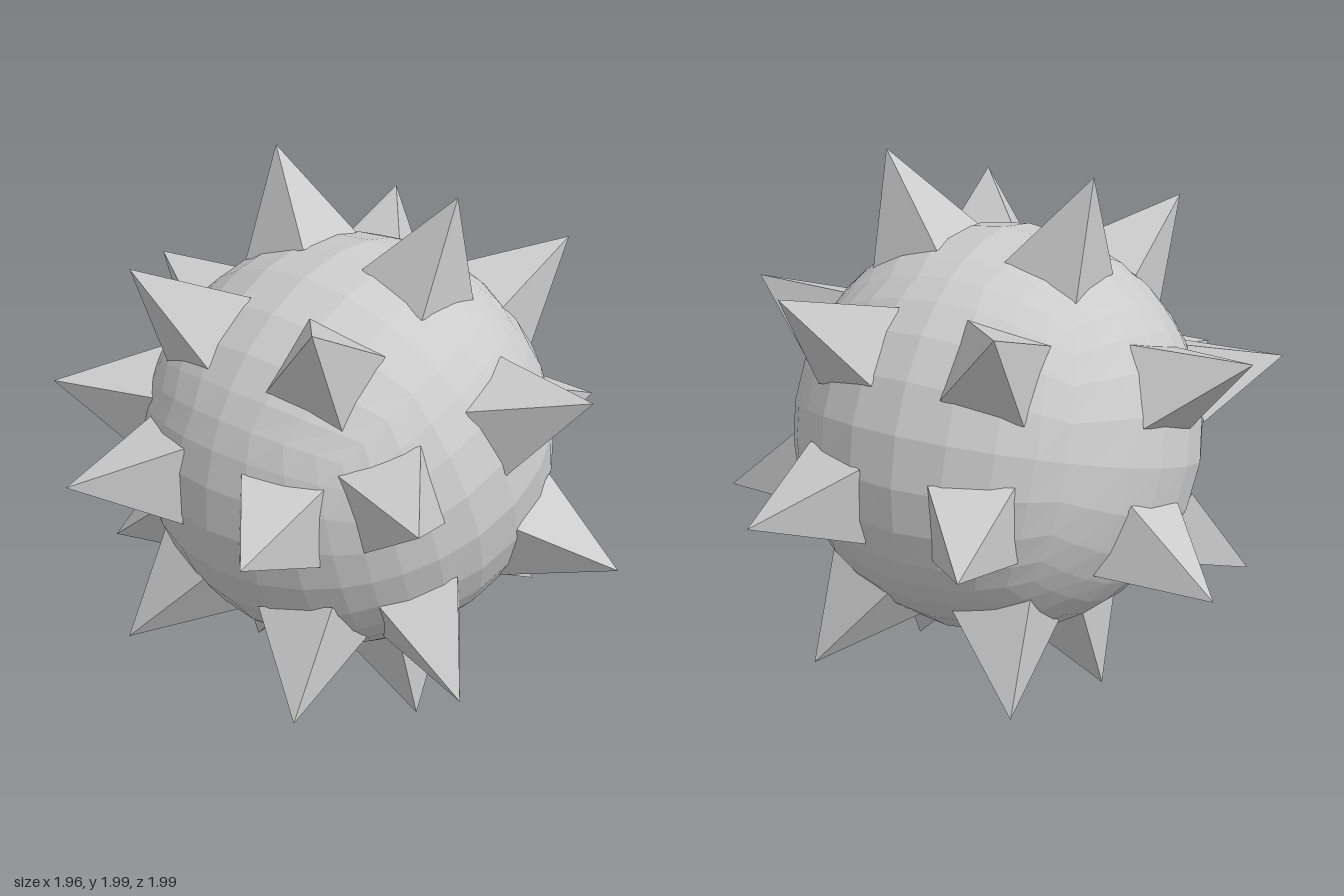
import * as THREE from 'three';

const RADIUS = 0.74;
const STEP = Math.PI / 16; // 11.25 degrees

export function createModel() {
  const model = new THREE.Group();
  model.name = 'spikedBall';
  const material = new THREE.MeshStandardMaterial({ color: 0xcccccc, flatShading: true });

  // Everything leans forward together around the x axis
  const ball = new THREE.Group();
  ball.name = 'tiltedBall';
  ball.position.y = 1;
  ball.rotation.x = 0.312;
  model.add(ball);

  // Body: a subdivided cube pushed out to a sphere
  const bodyGeometry = new THREE.BoxGeometry(2, 2, 2, 8, 8, 8);
  const pos = bodyGeometry.attributes.position;
  const v = new THREE.Vector3();
  for (let i = 0; i < pos.count; i++) {
    v.fromBufferAttribute(pos, i).setLength(RADIUS);
    pos.setXYZ(i, v.x, v.y, v.z);
  }
  bodyGeometry.computeVertexNormals();
  const body = new THREE.Mesh(bodyGeometry, material);
  body.name = 'body';
  ball.add(body);

  // Spike: square pyramid along +y, its base just inside the body
  const base = 0.71, tip = 1.077, half = 0.143;
  const spikeGeometry = new THREE.ConeGeometry(half * Math.SQRT2, tip - base, 4)
    .rotateY(Math.PI / 4)
    .translate(0, (base + tip) / 2, 0);

  // Points a spike along dir, with its base square to the given ring axis
  function addSpike(name, dir, ringAxis) {
    const up = dir.clone().normalize();
    const side = new THREE.Vector3().crossVectors(up, ringAxis).normalize();
    const front = new THREE.Vector3().crossVectors(side, up);
    const spike = new THREE.Mesh(spikeGeometry, material);
    spike.name = name;
    spike.quaternion.setFromRotationMatrix(new THREE.Matrix4().makeBasis(side, up, front));
    ball.add(spike);
  }

  const xAxis = new THREE.Vector3(1, 0, 0);
  const yAxis = new THREE.Vector3(0, 1, 0);
  for (const s of [1, -1]) {
    // Two rings of eight around the x axis
    for (let k = 0; k < 8; k++) {
      const a = 2 * STEP + k * Math.PI / 4;
      addSpike('ringSpike', new THREE.Vector3(s * 0.4, Math.sin(a), Math.cos(a)), xAxis);
    }
    // Four on each side, shifted towards the front
    for (const a of [-STEP, 3 * STEP])
      for (const y of [0.4, -0.4])
        addSpike('sideSpike', new THREE.Vector3(s * Math.cos(a), y, Math.sin(a)), yAxis);
  }
  return model;
}
